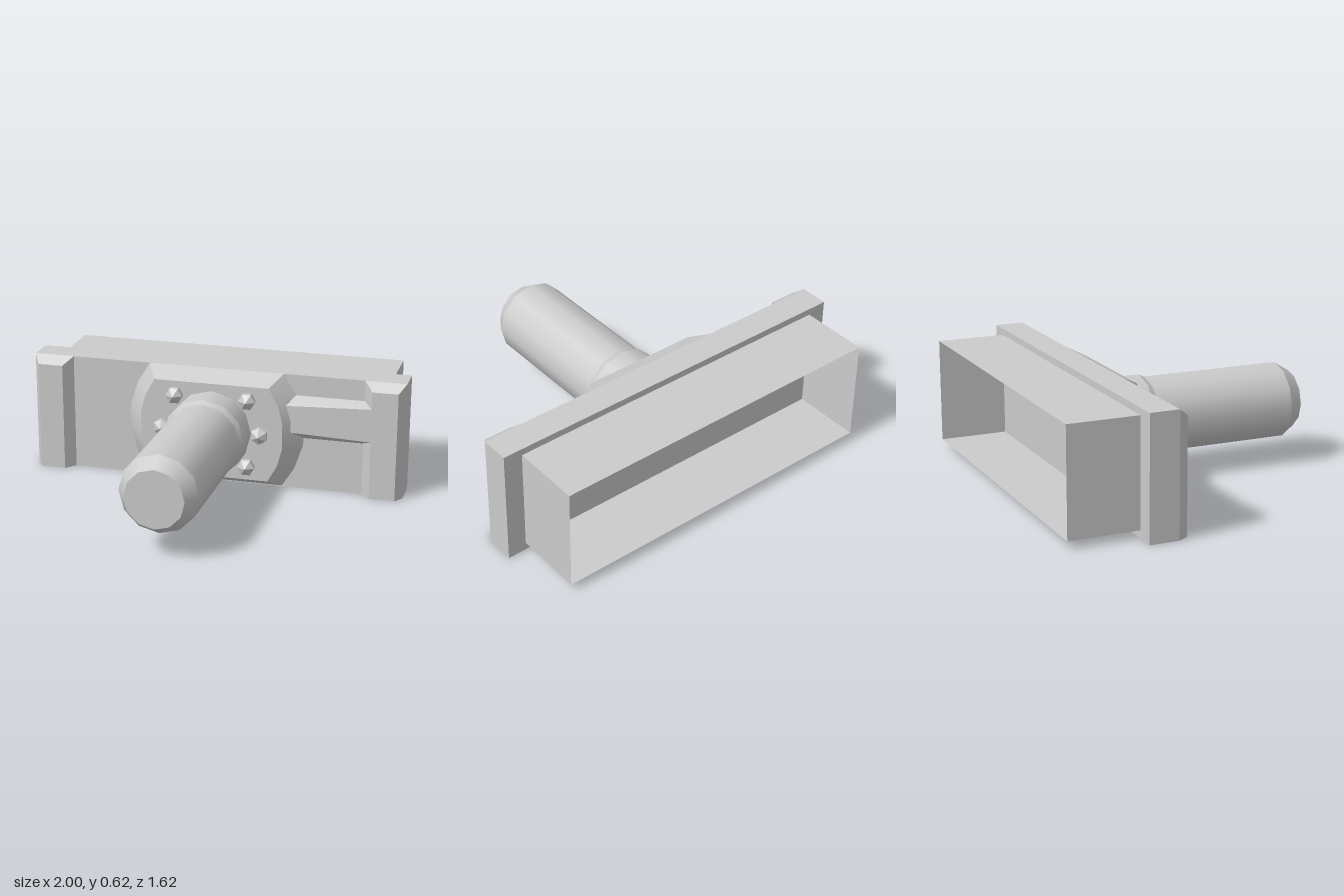
import * as THREE from 'three';
import { toCreasedNormals } from 'three/addons/utils/BufferGeometryUtils.js';

const AXIS_Y = 0.312;
const grey = new THREE.MeshStandardMaterial({ color: 0xcccccc });
const greyThin = new THREE.MeshStandardMaterial({ color: 0xcccccc, side: THREE.DoubleSide });

// Joins a back outline to a front outline (convex, anticlockwise seen from +z).
function loft(back, front, capped = true) {
  const pos = [];
  const tri = (...pts) => pts.forEach(p => pos.push(...p));
  const n = back.length;
  for (let i = 0; i < n; i++) {
    const j = (i + 1) % n;
    tri(back[i], back[j], front[j]);
    tri(back[i], front[j], front[i]);
    if (capped && i > 0 && i < n - 1) {
      tri(front[0], front[i], front[j]);
      tri(back[0], back[j], back[i]);
    }
  }
  const g = new THREE.BufferGeometry();
  g.setAttribute('position', new THREE.Float32BufferAttribute(pos, 3));
  return toCreasedNormals(g, 0.56);
}

const rect = (x0, x1, y0, y1, z) => [[x0, y0, z], [x1, y0, z], [x1, y1, z], [x0, y1, z]];

// Outline with flat top and bottom and bowed sides, from its upper right quarter.
function bowedOutline(quarter, z) {
  const up = quarter.map(([x, y]) => [x, AXIS_Y + y, z]);
  const down = quarter.map(([x, y]) => [x, AXIS_Y - y, z]).reverse();
  const right = [...down, ...up];
  const left = right.map(([x, y]) => [-x, y, z]).reverse();
  return [...right, ...left];
}

// Round section along z, from z0 to z1.
function roundSection(r0, r1, z0, z1, open = true, sides = 12) {
  const g = new THREE.CylinderGeometry(r1, r0, z1 - z0, sides, 1, open);
  g.rotateX(Math.PI / 2);
  g.translate(0, 0, (z0 + z1) / 2);
  return g;
}

export function createModel() {
  const model = new THREE.Group();
  const add = (name, geometry, material = grey, parent = model) => {
    const mesh = new THREE.Mesh(geometry, material);
    mesh.name = name;
    parent.add(mesh);
    return mesh;
  };

  // Mounting plate
  const plate = new THREE.BoxGeometry(2, 0.62, 0.15);
  plate.translate(0, 0.31, -0.375);
  add('mountingPlate', plate);

  // Bevelled ribs at both ends of the plate
  for (const [name, s] of [['leftEndRib', 1], ['rightEndRib', -1]]) {
    const xs = (a, b) => (s > 0 ? [a, b] : [-b, -a]);
    add(name, loft(rect(...xs(0.785, 1), 0, 0.62, -0.3), rect(...xs(0.832, 0.966), 0, 0.578, -0.246)));
  }

  // Hollow housing, open at the back
  add('rearHousing', loft(rect(-0.9, 0.9, 0.04, 0.585, -0.81), rect(-0.9, 0.9, 0.04, 0.585, -0.45), false), greyThin);

  // Raised boss around the shaft
  add('boss', loft(
    bowedOutline([[0.47, 0.07], [0.425, 0.205], [0.36, 0.308]], -0.3),
    bowedOutline([[0.38, 0.07], [0.355, 0.165], [0.305, 0.254]], -0.197)));

  // Tapered bar joining the boss to the left rib
  const bar = (x, z, lo, hi, baseLo, baseHi) => [
    [x, baseLo, -0.3], [x, baseHi, -0.3], [x, hi, z], [x, lo, z]];
  add('connectingBar', loft(
    bar(0.36, -0.235, 0.328, 0.468, 0.28, 0.51),
    bar(0.832, -0.2465, 0.308, 0.485, 0.28, 0.51)));

  // Shaft with collar and tapered tip
  const shaft = new THREE.Group();
  shaft.name = 'shaft';
  shaft.position.y = AXIS_Y;
  model.add(shaft);
  add('collar', roundSection(0.215, 0.215, -0.2, -0.05), grey, shaft);
  add('collarBevel', roundSection(0.215, 0.2, -0.05, -0.02), grey, shaft);
  add('shaftBody', roundSection(0.2, 0.2, -0.02, 0.73), grey, shaft);
  add('shaftTip', roundSection(0.2, 0.15, 0.73, 0.81, false), grey, shaft);

  // Six hexagonal bolts with pointed heads
  const head = toCreasedNormals(roundSection(0.045, 0.045, -0.2, -0.17, true, 6), 0.3);
  const point = toCreasedNormals(roundSection(0.045, 0, -0.17, -0.142, true, 6), 0.3);
  for (const s of [1, -1]) {
    for (const [x, y, turn] of [[0.194, 0.18, 30], [0.262, 0, 0], [0.194, -0.18, 30]]) {
      const bolt = new THREE.Group();
      bolt.name = 'bolt';
      bolt.position.set(s * x, AXIS_Y + y, 0);
      bolt.rotation.z = THREE.MathUtils.degToRad(turn);
      add('boltHead', head, grey, bolt);
      add('boltPoint', point, grey, bolt);
      model.add(bolt);
    }
  }

  return model;
}
